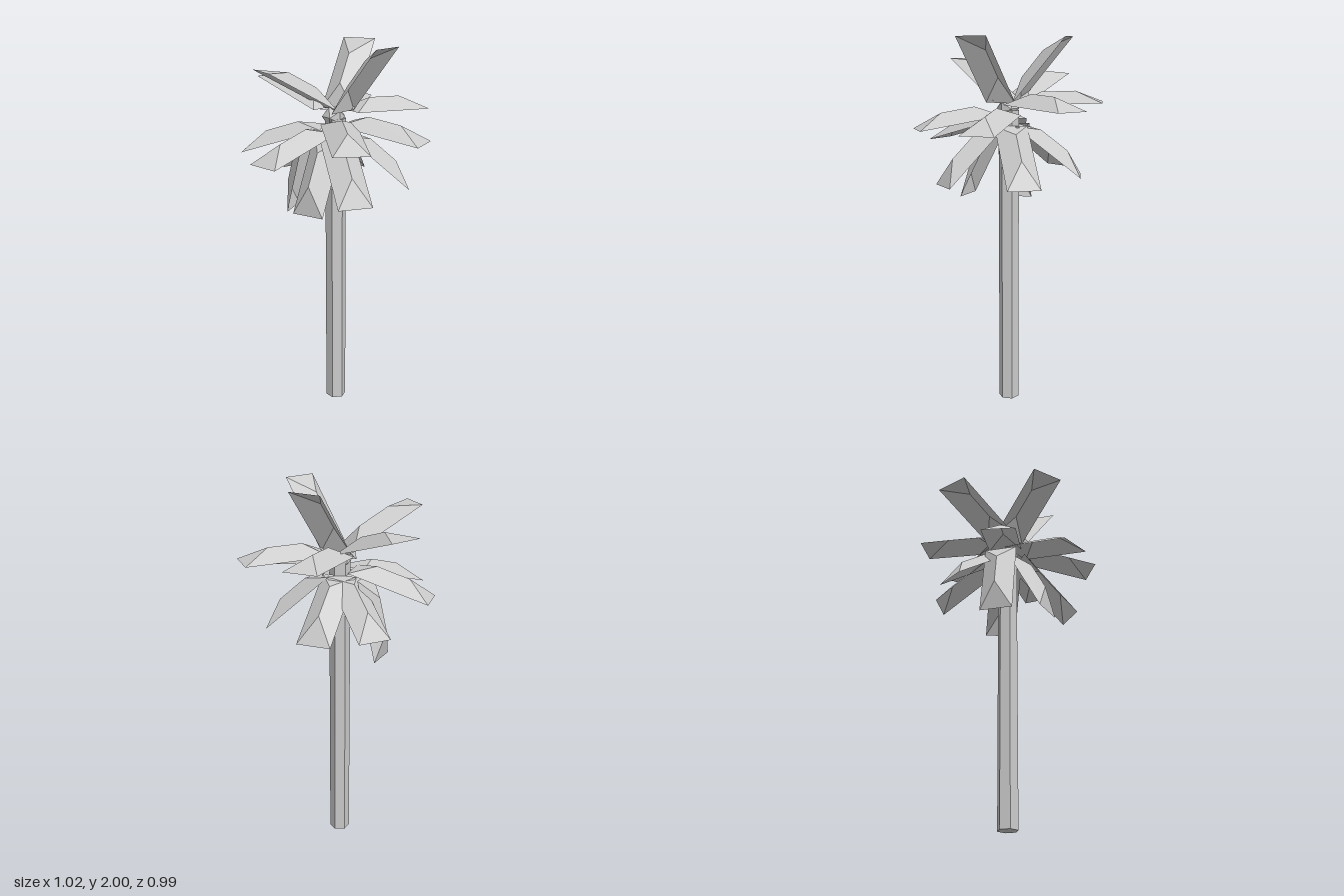
import * as THREE from 'three';

const solid = new THREE.MeshStandardMaterial({ color: 0xcccccc, flatShading: true });
const sheet = new THREE.MeshStandardMaterial({ color: 0xcccccc, flatShading: true, side: THREE.DoubleSide });

const LENGTH = 0.44, RIDGE = 0.063, AXIS = -0.015;

// Each frond: tip corner 1 (x, z), tip corner 2 (x, z), tip height, base height
const upper = [
  [-0.177, -0.47, 0.004, -0.497, 1.80, 1.665],
  [-0.056, 0.352, 0.122, 0.319, 2.0, 1.66],
  [-0.408, -0.168, -0.438, 0.011, 1.885, 1.67],
  [0.23, -0.228, 0.31, -0.063, 2.0, 1.66],
];
const middle = [
  [0.328, -0.368, 0.433, -0.22, 1.664, 1.65],
  [0.51, 0.019, 0.474, 0.198, 1.64, 1.655],
  [0.098, 0.492, 0.265, 0.418, 1.53, 1.6],
  [-0.348, 0.379, -0.19, 0.475, 1.53, 1.6],
  [-0.515, -0.058, -0.498, 0.126, 1.44, 1.56],
  [-0.27, -0.429, -0.405, -0.308, 1.44, 1.57],
];
const lower = [
  [0.345, 0.16, 0.24, 0.3, 1.25, 1.54],
  [-0.085, 0.377, -0.255, 0.31, 1.235, 1.54],
  [-0.23, 0.155, -0.285, -0.02, 1.15, 1.54],
  [0.108, -0.385, -0.07, -0.4, 1.288, 1.54],
  [-0.22, -0.16, -0.07, -0.255, 1.112, 1.54],
  [0.23, -0.315, 0.34, -0.17, 1.27, 1.54],
];

// Frond: a roof-like folded sheet, hipped at both ends and open underneath
function frondGeometry([x1, z1, x2, z2, tipY, baseY]) {
  let a = new THREE.Vector3(x1, tipY, z1);
  let b = new THREE.Vector3(x2, tipY, z2);
  const tip = a.clone().add(b).multiplyScalar(0.5);
  const across = b.clone().sub(a).normalize();
  const out = new THREE.Vector3(across.z, 0, -across.x);
  if (out.x * (tip.x - AXIS) + out.z * tip.z < 0) {
    out.negate();
    across.negate();
    [a, b] = [b, a];
  }
  const rise = tipY - baseY;
  const step = out.multiplyScalar(Math.sqrt(LENGTH ** 2 - rise ** 2)).setY(rise);
  const normal = across.clone().cross(step).normalize();
  if (normal.y < 0) normal.negate();
  const baseA = a.clone().sub(step), baseB = b.clone().sub(step);
  const ridge = (t) => tip.clone().addScaledVector(step, t - 1).addScaledVector(normal, RIDGE);
  const inner = ridge(0.27), outer = ridge(0.68);
  const faces = [
    [a, b, outer],
    [baseB, baseA, inner],
    [baseA, a, outer], [baseA, outer, inner],
    [b, baseB, inner], [b, inner, outer],
  ];
  // Turn every face to the upper side
  const points = faces.flatMap(([p, q, r]) => {
    const n = q.clone().sub(p).cross(r.clone().sub(p));
    return n.dot(normal) > 0 ? [p, q, r] : [p, r, q];
  });
  const g = new THREE.BufferGeometry().setFromPoints(points);
  g.computeVertexNormals();
  return g;
}

export function createModel() {
  const model = new THREE.Group();
  model.name = 'palmTree';

  // Hexagonal trunk
  const trunk = new THREE.Mesh(new THREE.CylinderGeometry(0.055, 0.055, 1.62, 6), solid);
  trunk.name = 'trunk';
  trunk.position.set(AXIS, 0.81, 0);
  model.add(trunk);

  // Faceted bud where the fronds meet
  const bud = new THREE.Mesh(new THREE.IcosahedronGeometry(0.06, 0), solid);
  bud.name = 'bud';
  bud.position.set(-0.025, 1.63, -0.005);
  model.add(bud);

  // Three tiers of fronds
  for (const [name, tier] of Object.entries({ upper, middle, lower })) {
    const group = new THREE.Group();
    group.name = name + 'Fronds';
    for (const spec of tier) {
      const frond = new THREE.Mesh(frondGeometry(spec), sheet);
      frond.name = 'frond';
      group.add(frond);
    }
    model.add(group);
  }
  return model;
}
